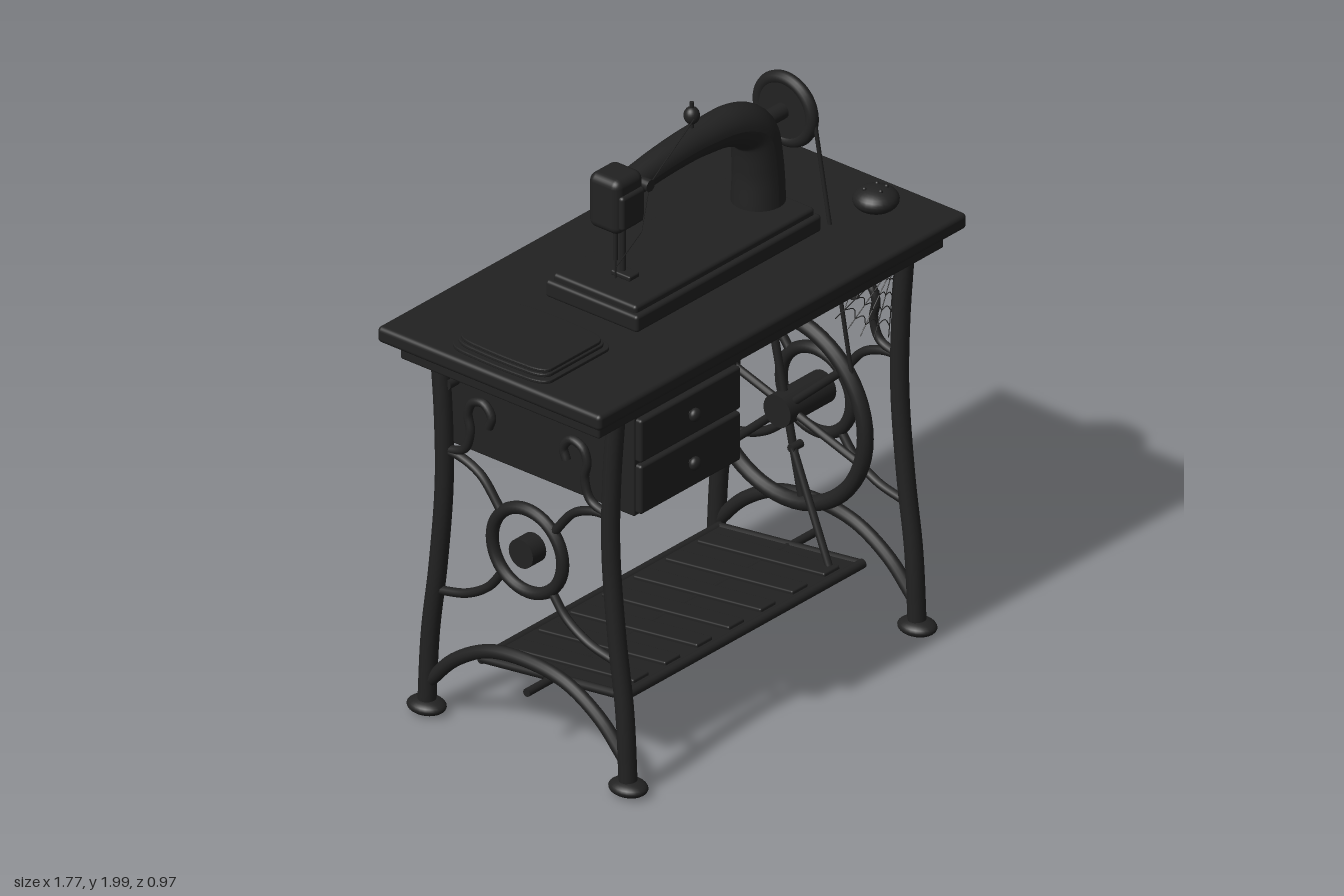
import * as THREE from 'three';
import { RoundedBoxGeometry } from 'three/addons/geometries/RoundedBoxGeometry.js';

const iron = new THREE.MeshStandardMaterial({ color: 0x222222 });
iron.name = 'black iron';
const V = (x, y, z) => new THREE.Vector3(x, y, z);

function add(parent, name, geometry, x = 0, y = 0, z = 0) {
  const mesh = new THREE.Mesh(geometry, iron);
  mesh.name = name;
  mesh.position.set(x, y, z);
  parent.add(mesh);
  return mesh;
}

// Rounded box given by its limits
function block(parent, name, [x0, x1], [y0, y1], [z0, z1], r = 0.012) {
  return add(parent, name, new RoundedBoxGeometry(x1 - x0, y1 - y0, z1 - z0, 3, r),
    (x0 + x1) / 2, (y0 + y1) / 2, (z0 + z1) / 2);
}

// Straight round bar between two points
function bar(parent, name, a, b, r, sides = 12) {
  const d = b.clone().sub(a);
  const mesh = add(parent, name, new THREE.CylinderGeometry(r, r, d.length(), sides));
  mesh.position.copy(a).add(b).multiplyScalar(0.5);
  mesh.quaternion.setFromUnitVectors(V(0, 1, 0), d.normalize());
  return mesh;
}

// Smooth round bar through several points
function bend(parent, name, points, r, steps = 28, sides = 10) {
  return add(parent, name, new THREE.TubeGeometry(new THREE.CatmullRomCurve3(points), steps, r, sides));
}

function ball(parent, name, x, y, z, rx, ry = rx, rz = rx) {
  const mesh = add(parent, name, new THREE.SphereGeometry(1, 24, 16), x, y, z);
  mesh.scale.set(rx, ry, rz);
  return mesh;
}

// Ring standing in the yz plane
function ring(parent, name, x, y, r, tube) {
  add(parent, name, new THREE.TorusGeometry(r, tube, 12, 56), x, y, 0).rotation.y = Math.PI / 2;
}

function makeTable() {
  const g = new THREE.Group();
  g.name = 'table';
  block(g, 'tableTop', [-0.885, 0.885], [1.387, 1.443], [-0.46, 0.46], 0.016);
  block(g, 'apron', [-0.83, 0.83], [1.323, 1.39], [-0.41, 0.41], 0.008);
  // Drawer cabinet
  block(g, 'drawerCabinet', [-0.655, -0.16], [0.975, 1.33], [-0.4, 0.405], 0.006);
  for (const [y0, y1] of [[0.985, 1.158], [1.168, 1.32]]) {
    block(g, 'drawerFront', [-0.648, -0.167], [y0, y1], [0.39, 0.428], 0.01);
    const y = (y0 + y1) / 2 + 0.008;
    bar(g, 'knobStem', V(-0.41, y, 0.42), V(-0.41, y, 0.445), 0.01);
    ball(g, 'drawerKnob', -0.41, y, 0.446, 0.023, 0.023, 0.017);
  }
  bar(g, 'rearCrossbar', V(-0.7, 1.205, -0.33), V(0.7, 1.205, -0.33), 0.018);
  return g;
}

function makeSideFrame(x) {
  const g = new THREE.Group();
  g.name = x > 0 ? 'leftSideFrame' : 'rightSideFrame';
  g.position.x = x;
  for (const s of [-1, 1]) {
    const path = (pts) => pts.map(([z, y]) => V(0, y, s * z));
    bend(g, 'leg', path([[0.365, 1.34], [0.347, 1.1], [0.343, 0.85], [0.368, 0.55], [0.4, 0.3], [0.415, 0.03]]), 0.03, 36, 14);
    ball(g, 'foot', 0, 0.036, s * 0.415, 0.056, 0.027, 0.068);
    // Scrolls and braces
    bend(g, 'scroll', path([[0.16, 1.11], [0.148, 1.15], [0.18, 1.188], [0.227, 1.175],
      [0.245, 1.13], [0.235, 1.07], [0.26, 1.0], [0.34, 0.97]]), 0.015, 40);
    bend(g, 'upperBrace', path([[0.11, 0.835], [0.19, 0.93], [0.27, 0.965], [0.34, 0.97]]), 0.015);
    bend(g, 'lowerBrace', path([[0.1, 0.62], [0.16, 0.545], [0.25, 0.49], [0.37, 0.46]]), 0.015);
  }
  bend(g, 'footArch', [[-0.4, 0.13], [-0.3, 0.235], [-0.16, 0.315], [0, 0.337], [0.16, 0.315], [0.3, 0.235], [0.4, 0.13]]
    .map(([z, y]) => V(0, y, z)), 0.023, 40, 12);
  ring(g, 'frameRing', 0, 0.73, 0.145, 0.021);
  bar(g, 'frameHub', V(-0.032, 0.73, 0), V(0.032, 0.73, 0), 0.05, 24);
  return g;
}

function makeDrive() {
  const g = new THREE.Group();
  g.name = 'drive';
  // Large wheel
  ring(g, 'driveWheelRim', 0.55, 0.73, 0.325, 0.027);
  bar(g, 'driveWheelHub', V(0.505, 0.73, 0), V(0.725, 0.73, 0), 0.056, 24);
  for (let i = 0; i < 6; i++) {
    const a = THREE.MathUtils.degToRad(18 + i * 60);
    bar(g, 'driveWheelSpoke', V(0.55, 0.73, 0),
      V(0.55, 0.73 + 0.32 * Math.sin(a), -0.32 * Math.cos(a)), 0.014);
  }
  // Belt running up to the hand wheel
  for (const s of [-1, 1]) bar(g, 'belt', V(0.547, 1.8, s * 0.117), V(0.547, 0.78, s * 0.3), 0.007, 8);
  bar(g, 'connectingRod', V(0.48, 0.26, 0.24), V(0.512, 0.62, 0.06), 0.013);
  bar(g, 'crankPin', V(0.5, 0.62, 0.06), V(0.55, 0.62, 0.06), 0.014);
  // Treadle
  bar(g, 'treadleAxle', V(-0.7, 0.225, 0), V(0.7, 0.225, 0), 0.014);
  const t = new THREE.Group();
  t.name = 'treadle';
  t.position.y = 0.227;
  t.rotation.x = -0.125;
  block(t, 'treadlePlate', [-0.575, 0.575], [-0.012, 0.008], [-0.3, 0.3], 0.006);
  for (const s of [-1, 1]) {
    bar(t, 'treadleEdge', V(-0.578, 0, s * 0.295), V(0.575, 0, s * 0.295), 0.016);
    bar(t, 'treadleEnd', V(s * 0.568, 0, -0.295), V(s * 0.568, 0, 0.295), 0.015);
  }
  for (let i = 0; i < 7; i++) {
    const x = (i - 3) * 0.153;
    block(t, 'treadleRib', [x - 0.038, x + 0.038], [0, 0.02], [-0.26, 0.27], 0.006);
  }
  g.add(t);
  return g;
}

function makeMachine() {
  const g = new THREE.Group();
  g.name = 'sewingMachine';
  block(g, 'machineBase', [-0.39, 0.5], [1.44, 1.5], [-0.19, 0.19], 0.012);
  block(g, 'machineBed', [-0.375, 0.488], [1.49, 1.524], [-0.172, 0.172], 0.012);
  // Swept arm with a changing radius
  const curve = new THREE.CatmullRomCurve3([V(0.415, 1.51, 0), V(0.412, 1.66, 0), V(0.385, 1.78, 0),
    V(0.29, 1.838, 0), V(0.12, 1.855, 0), V(-0.06, 1.848, 0), V(-0.24, 1.825, 0)]);
  const steps = 48, sides = 28;
  const radii = [0.088, 0.083, 0.08, 0.073, 0.062, 0.055, 0.052, 0.049, 0.047];
  const arm = new THREE.TubeGeometry(curve, steps, 1, sides);
  const pos = arm.attributes.position, v = V(0, 0, 0);
  for (let i = 0; i < pos.count; i++) {
    const u = Math.floor(i / (sides + 1)) / steps, f = u * (radii.length - 1), k = Math.min(Math.floor(f), radii.length - 2);
    const r = THREE.MathUtils.lerp(radii[k], radii[k + 1], f - k), c = curve.getPointAt(u);
    v.fromBufferAttribute(pos, i).sub(c).multiplyScalar(r).add(c);
    pos.setXYZ(i, v.x, v.y, v.z);
  }
  arm.computeVertexNormals();
  add(g, 'arm', arm);
  // Head, needle and presser foot
  block(g, 'head', [-0.332, -0.2], [1.71, 1.902], [-0.068, 0.06], 0.028);
  block(g, 'facePlate', [-0.32, -0.21], [1.73, 1.85], [0.045, 0.072], 0.012);
  bar(g, 'needleBar', V(-0.272, 1.59, 0), V(-0.272, 1.72, 0), 0.008);
  bar(g, 'needle', V(-0.272, 1.525, 0), V(-0.272, 1.6, 0), 0.003, 8);
  bar(g, 'presserBar', V(-0.237, 1.53, 0), V(-0.237, 1.72, 0), 0.01);
  block(g, 'presserFoot', [-0.262, -0.213], [1.522, 1.54], [-0.03, 0.05], 0.006);
  bar(g, 'tensionDial', V(-0.19, 1.845, 0.03), V(-0.19, 1.845, 0.075), 0.02, 20);
  // Spool and thread
  bar(g, 'spoolPin', V(0.095, 1.88, 0), V(0.095, 2, 0), 0.007);
  ball(g, 'spool', 0.095, 1.953, 0, 0.026, 0.03, 0.026);
  bar(g, 'thread', V(0.085, 1.952, 0.02), V(-0.19, 1.848, 0.07), 0.0022, 6);
  bar(g, 'thread', V(-0.19, 1.848, 0.07), V(-0.235, 1.7, 0.075), 0.0022, 6);
  bar(g, 'thread', V(-0.235, 1.7, 0.075), V(-0.272, 1.56, 0), 0.0022, 6);
  // Hand wheel
  bar(g, 'handWheelAxle', V(0.4, 1.79, 0), V(0.535, 1.79, 0), 0.027, 20);
  bar(g, 'handWheelDisc', V(0.53, 1.79, 0), V(0.565, 1.79, 0), 0.115, 48);
  ring(g, 'handWheelRim', 0.547, 1.79, 0.108, 0.022);
  return g;
}

function makeTableItems() {
  const g = new THREE.Group();
  g.name = 'tableItems';
  // Folded cloth
  for (const [y, dx, dz] of [[1.45, 0.17, 0.198], [1.464, 0.155, 0.185], [1.477, 0.148, 0.18]]) {
    const s = new THREE.Shape();
    s.moveTo(-dx * 0.75, -dz);
    s.lineTo(dx * 0.75, -dz);
    s.quadraticCurveTo(dx, -dz, dx, -dz * 0.55);
    s.quadraticCurveTo(dx * 1.04, 0, dx, dz * 0.55);
    s.quadraticCurveTo(dx, dz, dx * 0.75, dz);
    s.lineTo(-dx * 0.75, dz);
    s.quadraticCurveTo(-dx, dz, -dx, dz * 0.55);
    s.quadraticCurveTo(-dx * 1.04, 0, -dx, -dz * 0.55);
    s.quadraticCurveTo(-dx, -dz, -dx * 0.75, -dz);
    const geo = new THREE.ExtrudeGeometry(s, { depth: 0.006, bevelSize: 0.003, bevelThickness: 0.003, bevelSegments: 2 });
    geo.rotateX(-Math.PI / 2);
    add(g, 'foldedCloth', geo, -0.678, y - 0.003, 0);
  }
  // Pin cushion
  ball(g, 'pinCushion', 0.71, 1.485, 0.232, 0.075, 0.042, 0.075);
  for (const [x, z] of [[0.68, 0.21], [0.735, 0.215], [0.7, 0.26], [0.74, 0.25]]) ball(g, 'pinHead', x, 1.523, z, 0.007);
  return g;
}

function makeCobweb() {
  const g = new THREE.Group();
  g.name = 'cobweb';
  const c = V(0.67, 1.318, 0.345);
  const at = (i, f) => {
    const a = Math.PI + i * 0.29, r = [0.3, 0.3, 0.27, 0.26, 0.25, 0.26][i] * f;
    return V(c.x + r * Math.cos(a), c.y + r * Math.sin(a), c.z);
  };
  for (let i = 0; i < 6; i++) {
    bar(g, 'webStrand', c, at(i, 1), 0.0018, 5);
    if (i === 5) break;
    for (const f of [0.25, 0.45, 0.65, 0.85]) {
      const p = at(i, f), q = at(i + 1, f);
      bend(g, 'webThread', [p, p.clone().add(q).multiplyScalar(0.5).lerp(c, 0.1), q], 0.0016, 6, 5);
    }
  }
  return g;
}

export function createModel() {
  const model = new THREE.Group();
  model.name = 'treadleSewingMachine';
  model.add(makeTable(), makeSideFrame(0.695), makeSideFrame(-0.695), makeDrive(),
    makeMachine(), makeTableItems(), makeCobweb());
  return model;
}
